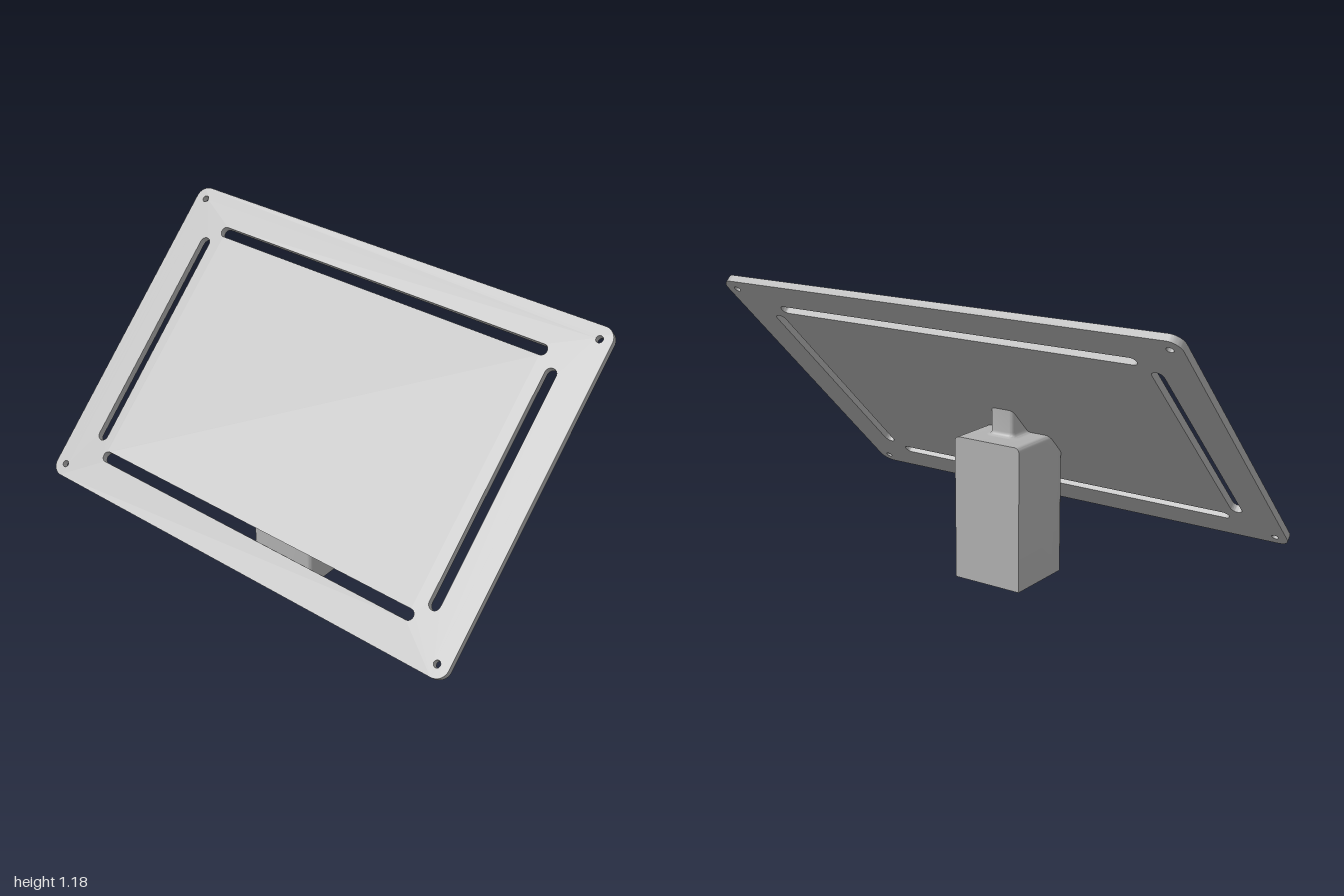
import * as THREE from 'three';
import { toCreasedNormals } from 'three/addons/utils/BufferGeometryUtils.js';

const grey = new THREE.MeshStandardMaterial({ color: 0xb2b2b2 });
grey.name = 'grey';

const UNDER = 0.672; // the post ends just inside the plate, where y = x + UNDER
const cut = (x, y) => Math.min(y, x + UNDER);

// Skin between successive cross-sections, with optional end caps
function loft(rings, closed, caps) {
  const n = rings[0].length, pos = [], idx = [];
  rings.forEach(r => r.forEach(p => pos.push(...p)));
  for (let i = 0; i < rings.length - 1; i++) {
    for (let j = 0; j < (closed ? n : n - 1); j++) {
      const k = (j + 1) % n;
      const a = i * n + j, b = i * n + k, c = b + n, d = a + n;
      idx.push(a, b, c, a, c, d);
    }
  }
  if (caps) {
    const last = (rings.length - 1) * n;
    for (let j = 1; j < n - 1; j++) idx.push(0, j + 1, j, last, last + j, last + j + 1);
  }
  const g = new THREE.BufferGeometry();
  g.setAttribute('position', new THREE.Float32BufferAttribute(pos, 3));
  g.setIndex(idx);
  return toCreasedNormals(g, 0.6);
}

// Horizontal rounded rectangle as [x, z] points
function roundedRing(cx, hx, hz, r) {
  const pts = [], steps = r > 0 ? 5 : 0;
  [[1, 1], [-1, 1], [-1, -1], [1, -1]].forEach(([sx, sz], q) => {
    for (let i = 0; i <= steps; i++) {
      const t = (q + (steps ? i / steps : 0)) * Math.PI / 2;
      pts.push([cx + sx * (hx - r) + r * Math.cos(t), -(sz * (hz - r) + r * Math.sin(t))]);
    }
  });
  return pts;
}

function roundedShape(PathType, cx, cy, hx, hy, r) {
  const s = new PathType();
  s.moveTo(cx + hx, cy - hy + r);
  s.lineTo(cx + hx, cy + hy - r);
  s.absarc(cx + hx - r, cy + hy - r, r, 0, Math.PI / 2);
  s.absarc(cx - hx + r, cy + hy - r, r, Math.PI / 2, Math.PI);
  s.absarc(cx - hx + r, cy - hy + r, r, Math.PI, Math.PI * 1.5);
  s.absarc(cx + hx - r, cy - hy + r, r, Math.PI * 1.5, Math.PI * 2);
  return s;
}

// Tilted plate with four slots and four corner holes
function plateGeometry() {
  const s = roundedShape(THREE.Shape, 0, 0, 0.681, 1, 0.05);
  for (const k of [-1, 1]) {
    s.holes.push(roundedShape(THREE.Path, k * 0.525, 0, 0.0215, 0.79, 0.0213));
    s.holes.push(roundedShape(THREE.Path, 0, k * 0.842, 0.475, 0.0235, 0.0233));
    for (const m of [-1, 1]) {
      const hole = new THREE.Path();
      hole.absarc(k * 0.63, m * 0.95, 0.014, 0, Math.PI * 2);
      s.holes.push(hole);
    }
  }
  const g = new THREE.ExtrudeGeometry(s, { depth: 0.029, bevelEnabled: false, curveSegments: 8 });
  g.translate(0, 0, -0.0145).rotateX(-Math.PI / 2).rotateZ(Math.PI / 4).translate(0, 0.684, 0);
  return toCreasedNormals(g, 0.6);
}

export function createModel() {
  const group = new THREE.Group();
  const add = (name, geometry) => {
    const m = new THREE.Mesh(geometry, grey);
    m.name = name;
    group.add(m);
    return m;
  };

  add('plate', plateGeometry());

  // Post body: sections along x, rounded at the -x corners and the side top edges
  const R = 0.02, H = 0.58, W = 0.15, X0 = -0.18, X1 = 0.125;
  const stations = [];
  for (let i = 0; i <= 5; i++) {
    const t = i / 5 * Math.PI / 2;
    stations.push([X0 + R - R * Math.cos(t), W - R + R * Math.sin(t)]);
  }
  for (const y of [H - R, H - R * 0.5, H - R * 0.2, H]) stations.push([y - UNDER, W]);
  stations.push([X1, W]);
  const sections = stations.map(([x, w]) => {
    const half = [[w, 0]];
    for (let i = 0; i <= 5; i++) {
      const t = i / 5 * Math.PI / 2;
      half.push([w - R + R * Math.cos(t), H - R + R * Math.sin(t)]);
    }
    const left = half.map(([z, y]) => [x, cut(x, y), -z]);
    const right = half.map(([z, y]) => [x, cut(x, y), z]).reverse();
    return [...left, ...right];
  });
  add('postBody', loft(sections, false, true));

  // Square socket in the underside
  const cx = (X0 + X1) / 2, hs = 0.1, depth = 0.4;
  const foot = new THREE.Shape([
    ...stations.map(([x, w]) => new THREE.Vector2(x, -w)),
    ...stations.map(([x, w]) => new THREE.Vector2(x, w)).reverse(),
  ]);
  const socket = roundedRing(cx, hs, hs, 0);
  foot.holes.push(new THREE.Path(socket.map(([x, z]) => new THREE.Vector2(x, z))));
  add('postBottom', new THREE.ShapeGeometry(foot).rotateX(Math.PI / 2));
  add('socketWalls', loft([depth, 0].map(y => socket.map(([x, z]) => [x, y, z])), true, false));
  add('socketCeiling', new THREE.PlaneGeometry(hs * 2, hs * 2).rotateX(Math.PI / 2))
    .position.set(cx, depth, 0);

  // Neck flaring into the body top
  const levels = [];
  for (let i = 0; i <= 5; i++) {
    const t = i / 5 * Math.PI / 2;
    levels.push([H + R * (1 - Math.cos(t)), R * (1 - Math.sin(t))]);
  }
  levels.push([0.75, 0]);
  const rings = levels.map(([y, o]) =>
    roundedRing(cx, 0.052 + o, 0.052 + o, 0.016 + o).map(([x, z]) => [x, cut(x, y), z]));
  add('neck', loft(rings, true, false));

  return group;
}
